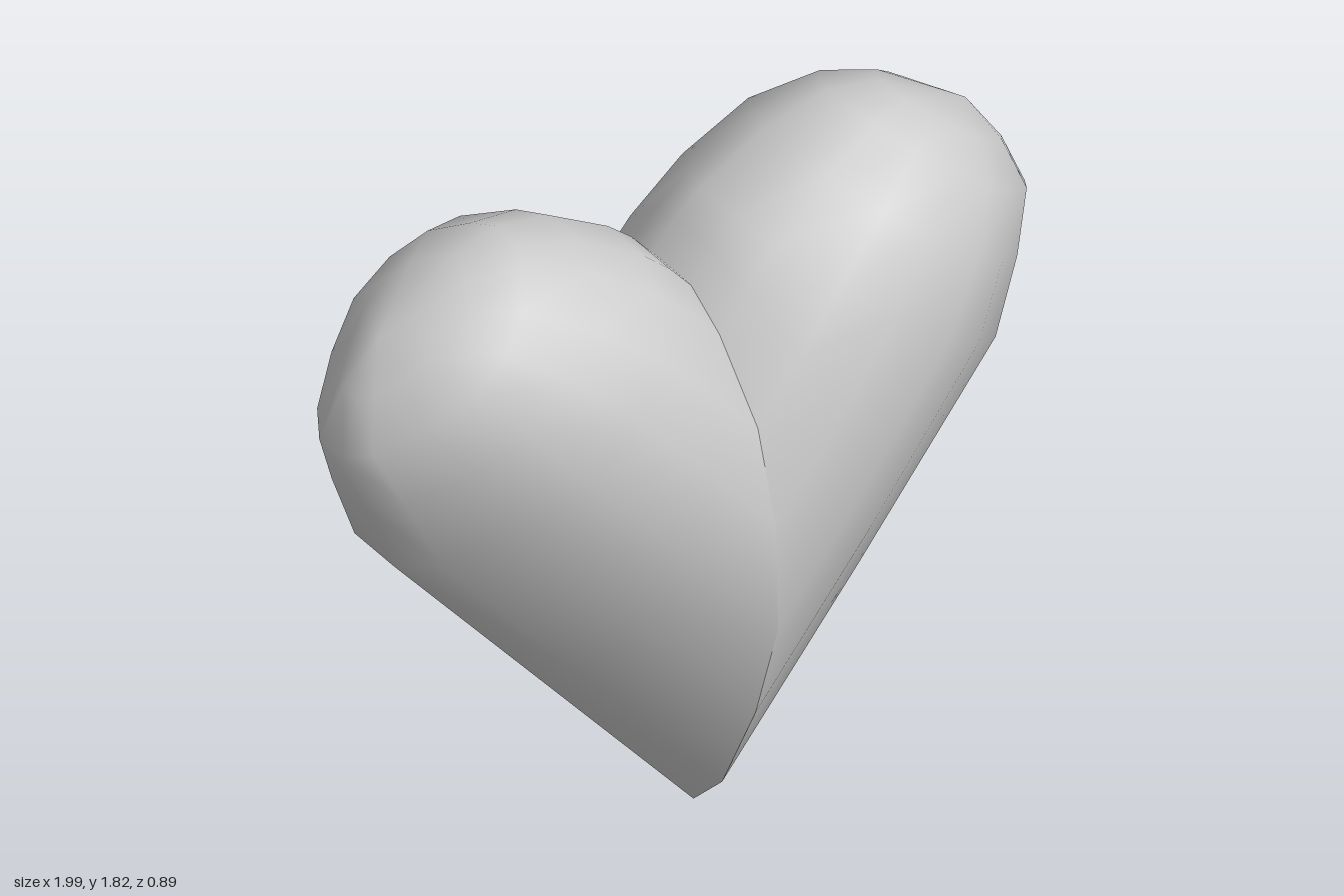
import * as THREE from 'three';

// Half of a lobe's cross-section: [position across 0..1, half thickness]
const SECTION = [
  [0, 0.09], [0.08, 0.21], [0.27, 0.35], [0.47, 0.445],
  [0.67, 0.435], [0.83, 0.36], [0.95, 0.2], [1, 0.08],
];
const LOOP = [...SECTION, ...SECTION.map(([u, z]) => [u, -z]).reverse()];

// Rings of the rounded end: [distance along axis, lower edge, upper edge, thickness scale]
const CAP = [
  [1.36, 0, 0.955, 0.92],
  [1.56, 0.07, 0.89, 0.79],
  [1.71, 0.128, 0.79, 0.56],
  [1.785, 0.26, 0.67, 0.32],
];
const WIDTH = 0.97;
const POLE = [1.832, 0.41];
const DIR = [0.64, 0.768]; // lobe axis, rising outward from the bottom tip

// One lobe: a rounded bar cut off by the middle plane x = 0
function lobeGeometry(side) {
  const pos = [];
  const index = [];
  const add = (along, across, z) => pos.push(
    side * (along * DIR[0] - across * DIR[1]),
    along * DIR[1] + across * DIR[0],
    z,
  );
  const tri = (a, b, c) => (side > 0 ? index.push(a, b, c) : index.push(a, c, b));
  const n = LOOP.length;

  // straight part, starting on the middle plane
  for (const t of [0, 0.5]) {
    for (const [u, z] of LOOP) {
      const across = u * WIDTH;
      const cut = across * DIR[1] / DIR[0];
      add(cut + (CAP[0][0] - cut) * t, across, z * (1 - 0.02 * t));
    }
  }
  // rounded end
  for (const [along, lo, hi, s] of CAP) {
    for (const [u, z] of LOOP) add(along, lo + (hi - lo) * u, z * s);
  }
  add(POLE[0], POLE[1], 0);

  const rings = 2 + CAP.length;
  for (let i = 0; i < rings; i++) {
    for (let j = 0; j < n; j++) {
      const k = (j + 1) % n;
      const a = i * n + j;
      const b = i * n + k;
      if (i === rings - 1) tri(a, rings * n, b);
      else {
        tri(a, a + n, b);
        tri(b, a + n, b + n);
      }
    }
  }
  const geo = new THREE.BufferGeometry();
  geo.setAttribute('position', new THREE.Float32BufferAttribute(pos, 3));
  geo.setIndex(index);
  geo.computeVertexNormals();
  return geo;
}

export function createModel() {
  const heart = new THREE.Group();
  heart.name = 'heart';
  const material = new THREE.MeshStandardMaterial({ color: 0xcccccc });
  for (const [name, side] of [['leftLobe', 1], ['rightLobe', -1]]) {
    const lobe = new THREE.Mesh(lobeGeometry(side), material);
    lobe.name = name;
    heart.add(lobe);
  }
  return heart;
}
